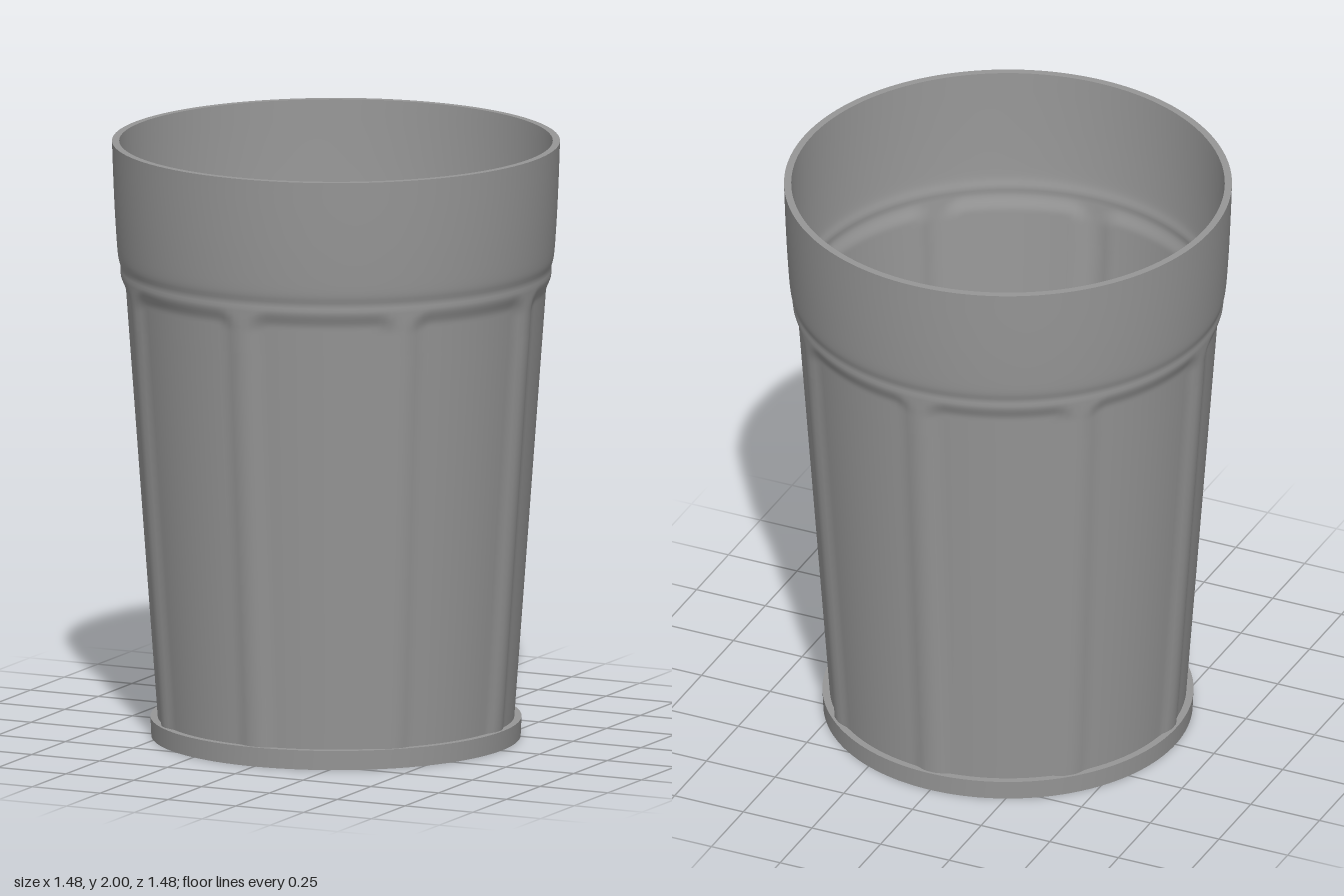
import * as THREE from 'three';

const SEG = 192, PANELS = 8, BASE = 0.065, SHOULDER = 1.56, TOP = 2;
const material = new THREE.MeshStandardMaterial({ color: 0x969696, side: THREE.DoubleSide });

// Round profile of the outer wall: tapered body, small pinch at the shoulder, slightly flared collar
const collar = new THREE.CatmullRomCurve3([
  [0.712, 1.56], [0.711, 1.58], [0.719, 1.61], [0.728, 1.72], [0.735, 1.86], [0.74, 2],
].map(([r, y]) => new THREE.Vector3(r, y, 0)));
const collarPoints = collar.getPoints(30);

function profile(y) {
  if (y <= SHOULDER) return THREE.MathUtils.mapLinear(y, BASE, SHOULDER, 0.603, 0.712);
  const i = Math.max(1, collarPoints.findIndex((p) => p.y >= y - 1e-6));
  const a = collarPoints[i - 1], b = collarPoints[i];
  return THREE.MathUtils.mapLinear(y, a.y, b.y, a.x, b.x);
}

// Depth of the eight round-cornered panels pressed softly into the wall between the ribs
function recess(angle, y) {
  const step = (Math.PI * 2) / PANELS, corner = 0.07;
  const offset = Math.abs((angle % step) - step / 2);
  const r = profile(Math.min(y, SHOULDER));
  const dx = offset * r - (r * step / 2 - 0.025) + corner;
  const dy = y - 1.545 + corner;
  const d = Math.hypot(Math.max(dx, 0), Math.max(dy, 0)) + Math.min(Math.max(dx, dy), 0) - corner;
  return 0.014 * (1 - THREE.MathUtils.smoothstep(d, -0.045, 0.012));
}

const outer = (a, y) => profile(y) - recess(a, y);
const inner = (a, y) => outer(a, y) - 0.024;

// Closed rings joined into a surface; each ring is a function angle -> [radius, y]
function loft(name, rings) {
  const pos = [], index = [];
  rings.forEach((ring, j) => {
    for (let i = 0; i < SEG; i++) {
      const a = (i / SEG) * Math.PI * 2, [r, y] = ring(a);
      pos.push(r * Math.cos(a), y, r * Math.sin(a));
      if (j === 0) continue;
      const n = (i + 1) % SEG, lo = (j - 1) * SEG, hi = j * SEG;
      index.push(lo + i, hi + i, lo + n, lo + n, hi + i, hi + n);
    }
  });
  const geometry = new THREE.BufferGeometry();
  geometry.setAttribute('position', new THREE.Float32BufferAttribute(pos, 3));
  geometry.setIndex(index);
  geometry.computeVertexNormals();
  const mesh = new THREE.Mesh(geometry, material);
  mesh.name = name;
  return mesh;
}

// Row heights: sparse along the body, dense around the panel tops and shoulder
function heights() {
  const ys = [];
  for (let i = 0; i < 12; i++) ys.push(THREE.MathUtils.lerp(BASE, 1.4, i / 12));
  for (let i = 0; i < 24; i++) ys.push(1.4 + i * 0.01);
  for (let i = 0; i <= 10; i++) ys.push(THREE.MathUtils.lerp(1.65, TOP, i / 10));
  return ys;
}

export function createModel() {
  const group = new THREE.Group();
  group.name = 'tumbler';
  const ys = heights();

  // Walls and rim
  group.add(loft('outerWall', ys.map((y) => (a) => [outer(a, y), y])));
  group.add(loft('innerWall', [...ys].reverse().map((y) => (a) => [inner(a, y), y])));
  group.add(loft('rim', [(a) => [outer(a, TOP), TOP], (a) => [inner(a, TOP), TOP]]));

  // Floor inside the cup
  group.add(loft('floor', [(a) => [inner(a, BASE), BASE], () => [0, BASE]]));

  // Foot ring with its ledge and flat underside
  group.add(loft('footLedge', [() => [0.613, BASE], (a) => [outer(a, BASE), BASE]]));
  group.add(loft('footSide', [() => [0.61, 0], () => [0.613, BASE]]));
  group.add(loft('underside', [() => [0, 0], () => [0.61, 0]]));
  return group;
}
